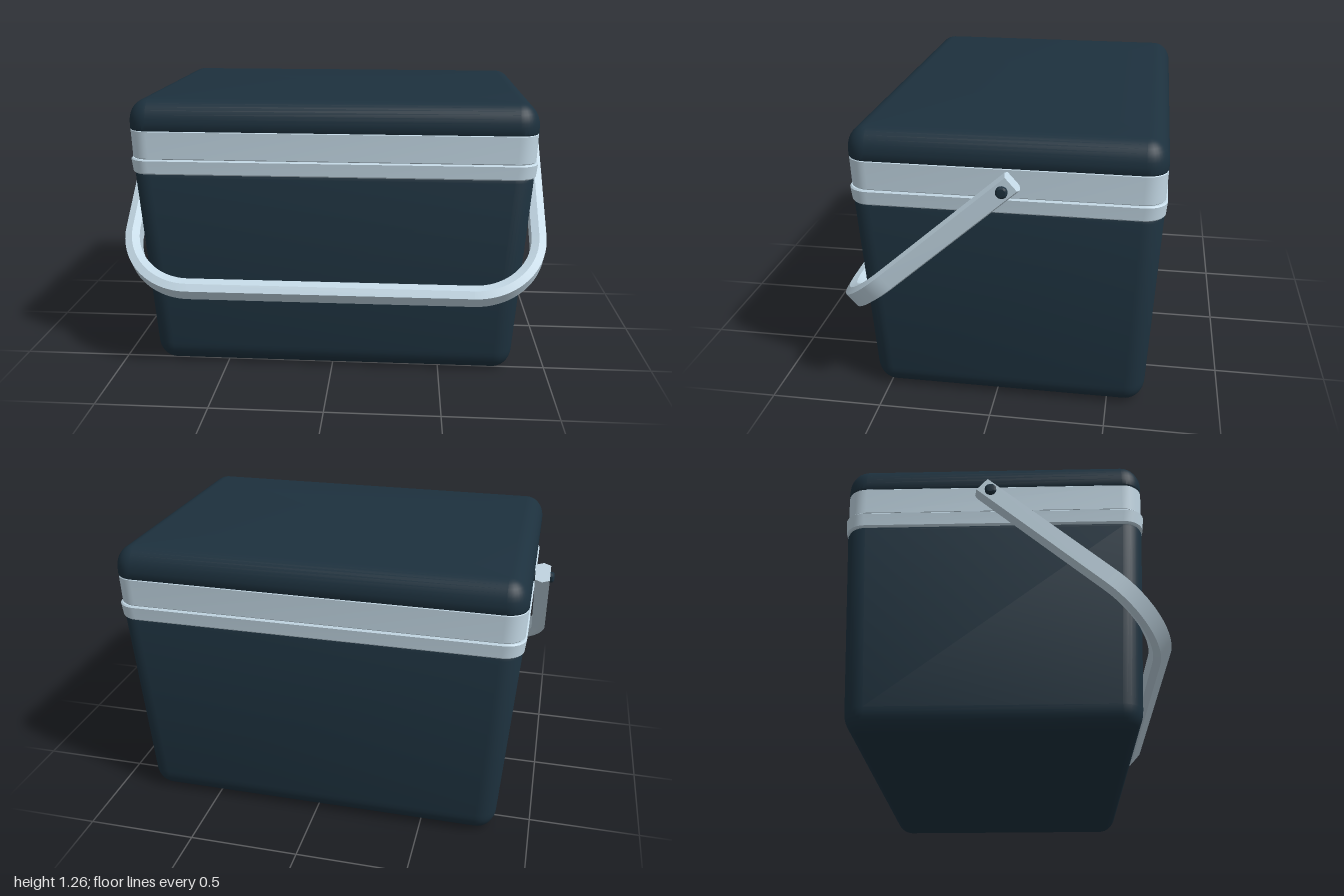
import * as THREE from 'three';
import { toCreasedNormals } from 'three/addons/utils/BufferGeometryUtils.js';

// Skin a list of closed loops (counter-clockwise seen from the end) and cap both ends
function skin(loops, crease) {
  const n = loops[0].length, pos = [], idx = [];
  loops.forEach((l) => l.forEach((p) => pos.push(p.x, p.y, p.z)));
  for (let i = 0; i < loops.length - 1; i++) {
    for (let j = 0; j < n; j++) {
      const a = i * n + j, b = i * n + ((j + 1) % n);
      idx.push(a, b, b + n, a, b + n, a + n);
    }
  }
  [0, loops.length - 1].forEach((i, end) => {
    const c = new THREE.Vector3();
    loops[i].forEach((p) => c.addScaledVector(p, 1 / n));
    const k = pos.length / 3;
    pos.push(c.x, c.y, c.z);
    for (let j = 0; j < n; j++) {
      const a = i * n + j, b = i * n + ((j + 1) % n);
      if (end) idx.push(a, b, k);
      else idx.push(b, a, k);
    }
  });
  const g = new THREE.BufferGeometry();
  g.setAttribute('position', new THREE.Float32BufferAttribute(pos, 3));
  g.setIndex(idx);
  return toCreasedNormals(g, crease);
}

const CORNER = 0.09;

// Horizontal rounded rectangle, shrunk by inset, counter-clockwise from above
function ring(halfX, halfZ, y, inset) {
  const pts = [], seg = 8, r = CORNER - inset;
  const cx = halfX - CORNER, cz = halfZ - CORNER;
  [[1, -1], [-1, -1], [-1, 1], [1, 1]].forEach(([sx, sz], q) => {
    for (let i = 0; i <= seg; i++) {
      const a = (q + i / seg) * Math.PI / 2;
      pts.push(new THREE.Vector3(sx * cx + r * Math.cos(a), y, sz * cz - r * Math.sin(a)));
    }
  });
  return pts;
}

export function createModel() {
  const model = new THREE.Group();
  const navy = new THREE.MeshStandardMaterial({ color: 0x1d313e });
  navy.name = 'dark navy';
  const pale = new THREE.MeshStandardMaterial({ color: 0xc4d9e6 });
  pale.name = 'pale blue grey';

  const add = (name, geometry, material, parent = model) => {
    const mesh = new THREE.Mesh(geometry, material);
    mesh.name = name;
    parent.add(mesh);
    return mesh;
  };

  const box = new THREE.Group();
  box.name = 'coolBox';
  box.position.z = -0.05;
  model.add(box);

  // Tapered body with a rounded bottom edge
  const body = [], steps = 8, round = 0.086;
  for (let i = 0; i <= steps; i++) {
    const a = (i / steps) * Math.PI / 2;
    body.push(ring(0.845, 0.617, 0.1 * (1 - Math.sin(a + 0)), round * (1 - Math.cos(a))));
  }
  body.reverse();
  body.push(ring(0.899, 0.655, 0.92, 0), ring(0.899, 0.655, 0.94, 0.008));
  add('body', skin(body, 0.6), navy, box);

  // Two trim bands, each with narrow bevelled edges
  const band = (name, y0, y1, x0, z0, x1, z1) => {
    const b = 0.006;
    add(name, skin([
      ring(x0, z0, y0, b), ring(x0, z0, y0 + b, 0),
      ring(x1, z1, y1 - b, 0), ring(x1, z1, y1, b),
    ], 0.5), pale, box);
  };
  band('lowerBand', 0.933, 1.002, 0.906, 0.66, 0.912, 0.665);
  band('upperBand', 1.0, 1.133, 0.905, 0.657, 0.909, 0.661);

  // Lid with a rounded top edge
  const lid = [ring(0.91, 0.662, 1.13, 0.004), ring(0.91, 0.662, 1.136, 0)];
  for (let i = 0; i <= steps; i++) {
    const a = (i / steps) * Math.PI / 2;
    lid.push(ring(0.91, 0.662, 1.165 + 0.1 * Math.sin(a), round * (1 - Math.cos(a))));
  }
  add('lid', skin(lid, 0.6), navy, box);

  // Swinging handle: hexagonal section swept along a U, local -y points to the grip
  const handle = new THREE.Group();
  handle.name = 'handle';
  handle.position.set(0, 1.06, -0.06);
  handle.rotation.x = -Math.atan2(0.75, 0.661);
  model.add(handle);

  const HX = 0.946, LEN = 0.972, BEND = 0.3;
  const path = [{ x: -HX, y: 0.05, a: Math.PI }];
  [-1, 1].forEach((side) => {
    for (let i = 0; i <= 24; i++) {
      const a = (side < 0 ? Math.PI : Math.PI * 1.5) + (i / 24) * Math.PI / 2;
      path.push({
        x: side * (HX - BEND) + BEND * Math.cos(a),
        y: -(LEN - BEND) + BEND * Math.sin(a),
        a,
      });
    }
  });
  path.push({ x: HX, y: 0.05, a: Math.PI * 2 });
  // Section points: [outward, across]
  const section = [[0.034, 0.037], [0.034, -0.037], [0, -0.048],
    [-0.034, -0.037], [-0.034, 0.037], [0, 0.048]];
  const loops = path.map(({ x, y, a }) => section.map(([o, w]) =>
    new THREE.Vector3(x + o * Math.cos(a), y + o * Math.sin(a), w)));
  add('handleBar', skin(loops, 0.2), pale, handle);

  // Pivot pins
  const pin = toCreasedNormals(new THREE.LatheGeometry([
    [0, -0.12], [0.025, -0.12], [0.025, -0.008], [0.018, -0.002], [0, 0],
  ].map(([r, y]) => new THREE.Vector2(r, y)), 24), 0.6);
  [-1, 1].forEach((side) => {
    const m = add(side > 0 ? 'leftPin' : 'rightPin', pin, navy);
    m.rotation.z = -side * Math.PI / 2;
    m.position.set(side, 1.06, -0.06);
  });

  return model;
}
